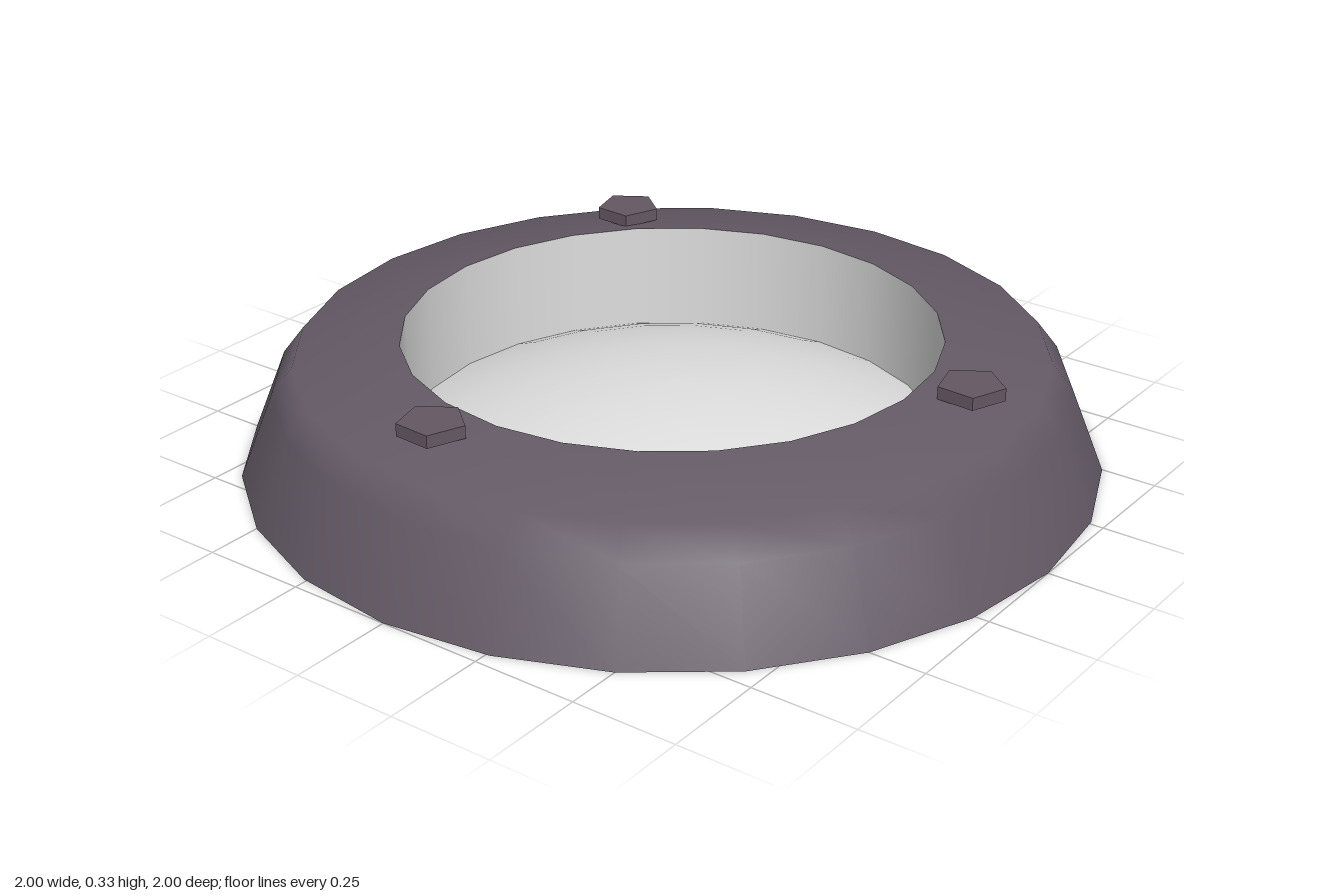
import * as THREE from 'three';

const SIDES = 24;

export function createModel() {
  const model = new THREE.Group();
  model.name = 'roundCeilingLamp';

  const housingPaint = new THREE.MeshStandardMaterial({ color: 0x645a66, side: THREE.DoubleSide });
  housingPaint.name = 'housingPaint';
  const paleGlass = new THREE.MeshStandardMaterial({ color: 0xdedede, side: THREE.DoubleSide });
  paleGlass.name = 'paleGlass';
  const boltMetal = new THREE.MeshStandardMaterial({ color: 0x645863, flatShading: true });
  boltMetal.name = 'boltMetal';

  const addLathe = (name, profile, material) => {
    const points = profile.map(([x, y]) => new THREE.Vector2(x, y));
    const mesh = new THREE.Mesh(new THREE.LatheGeometry(points, SIDES), material);
    mesh.name = name;
    model.add(mesh);
  };

  // Sloping outer ring, open underneath
  addLathe('housingRing', [[1, 0], [0.92, 0.2], [0.87, 0.265], [0.625, 0.305]], housingPaint);

  // Straight wall of the central opening
  addLathe('innerWall', [[0.625, 0.305], [0.625, 0.044]], paleGlass);

  // Shallow dome closing the opening
  const rimAngle = 0.43;
  const radius = 0.625 / Math.sin(rimAngle);
  const dome = [];
  for (let i = 0; i <= 8; i++) {
    const a = rimAngle * (1 - i / 8);
    dome.push([radius * Math.sin(a), 0.044 + radius * (Math.cos(a) - Math.cos(rimAngle))]);
  }
  addLathe('domedLens', dome, paleGlass);

  // Three five-sided bolts on the top face
  const boltShape = new THREE.CylinderGeometry(0.078, 0.078, 0.03, 5);
  [[-0.525, -0.52], [0.722, -0.12], [-0.1, 0.715]].forEach(([x, z]) => {
    const bolt = new THREE.Mesh(boltShape, boltMetal);
    bolt.name = 'bolt';
    bolt.position.set(x, 0.311, z);
    bolt.rotation.y = Math.PI - 0.06;
    model.add(bolt);
  });

  return model;
}
